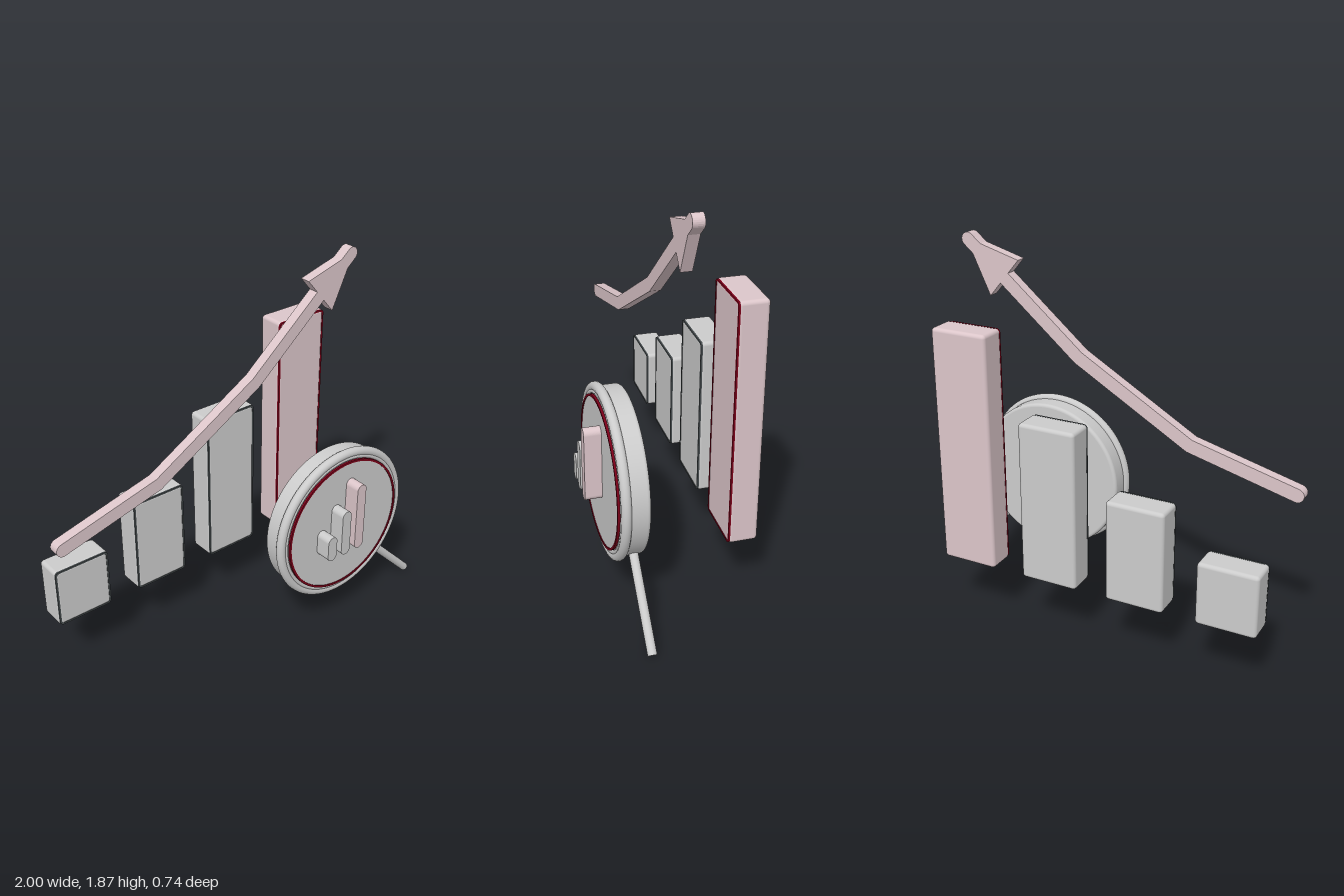
import * as THREE from 'three';
import { RoundedBoxGeometry } from 'three/addons/geometries/RoundedBoxGeometry.js';

const grey = new THREE.MeshStandardMaterial({ color: 0xcccccc });
const pink = new THREE.MeshStandardMaterial({ color: 0xdcc6ca });
const darkRed = new THREE.MeshStandardMaterial({ color: 0x7a0018 });
const darkGrey = new THREE.MeshStandardMaterial({ color: 0x454b4d });

function add(parent, name, geometry, material, x = 0, y = 0, z = 0) {
  const mesh = new THREE.Mesh(geometry, material);
  mesh.name = name;
  mesh.position.set(x, y, z);
  parent.add(mesh);
  return mesh;
}

// Centred rectangle with rounded corners, drawn counter-clockwise
function roundedRect(w, h, r, Kind = THREE.Shape) {
  const s = new Kind(), x = w / 2 - r, y = h / 2 - r;
  s.absarc(x, y, r, 0, Math.PI / 2);
  s.absarc(-x, y, r, Math.PI / 2, Math.PI);
  s.absarc(-x, -y, r, Math.PI, Math.PI * 1.5);
  s.absarc(x, -y, r, Math.PI * 1.5, Math.PI * 2);
  s.closePath();
  return s;
}

const extrude = (shape, depth) =>
  new THREE.ExtrudeGeometry(shape, { depth, bevelEnabled: false, curveSegments: 12 });

// Chart column: soft-edged block with a thin dark frame on its front
function column(x, top, material, frameMaterial) {
  const group = new THREE.Group(), w = 0.288, bottom = 0.31, h = top - bottom;
  group.name = 'chartColumn';
  group.position.set(x, bottom + h / 2, 0);
  add(group, 'columnBlock', new RoundedBoxGeometry(w, h, 0.138, 4, 0.018), material, 0, 0, -0.301);
  const frame = roundedRect(w - 0.004, h - 0.004, 0.02);
  frame.holes.push(roundedRect(w - 0.022, h - 0.022, 0.014, THREE.Path));
  add(group, 'columnFrame', extrude(frame, 0.009), frameMaterial, 0, 0, -0.24);
  return group;
}

// Trend arrow: mitred band with round ends and a triangular head, as one outline
function arrowShape() {
  const r = 0.033;
  const path = [[-0.968, 0.888], [-0.46, 1.02], [0.1, 1.347], [0.674, 1.834]]
    .map(p => new THREE.Vector2(...p));
  const dirs = path.slice(1).map((p, i) => p.clone().sub(path[i]).normalize());
  const left = d => new THREE.Vector2(-d.y, d.x);
  const last = dirs[2], end = path[3];
  const headPoint = (back, side) =>
    end.clone().addScaledVector(last, -back).addScaledVector(left(last), side);
  const joint = (i, sign) => {
    const n = left(dirs[i - 1]).add(left(dirs[i])).normalize();
    return path[i].clone().addScaledVector(n, sign * r / n.dot(left(dirs[i])));
  };
  const cap = (c, d) => Array.from({ length: 13 }, (_, i) => {
    const a = Math.atan2(d.y, d.x) - Math.PI / 2 + Math.PI * i / 12;
    return new THREE.Vector2(c.x + r * Math.cos(a), c.y + r * Math.sin(a));
  });
  return new THREE.Shape([
    ...cap(path[0], dirs[0].clone().negate()),
    joint(1, -1), joint(2, -1),
    headPoint(0.25, -r), headPoint(0.25, -0.12), headPoint(0.06, -r),
    ...cap(end, last),
    headPoint(0.06, r), headPoint(0.25, 0.12), headPoint(0.25, r),
    joint(2, 1), joint(1, 1),
  ]);
}

function magnifier() {
  const group = new THREE.Group();
  group.name = 'magnifier';
  group.position.set(0.404, 0.598, 0);

  // Round body with softened edges, its axis along z
  const body = new THREE.CylinderGeometry(0.385, 0.385, 0.09, 96, 1, true).rotateX(Math.PI / 2);
  add(group, 'lensBody', body, grey, 0, 0, 0.21);
  const edge = Array.from({ length: 7 }, (_, i) => {
    const a = Math.PI / 2 * i / 6;
    return new THREE.Vector2(0.37 + 0.015 * Math.sin(a), 0.165 - 0.015 * Math.cos(a));
  });
  add(group, 'lensBackEdge', new THREE.LatheGeometry(edge, 96).rotateX(Math.PI / 2), grey);
  add(group, 'lensBack', new THREE.CircleGeometry(0.37, 96).rotateY(Math.PI), grey, 0, 0, 0.15);

  // Rim, step inside it, and the lens plate
  add(group, 'lensRim', new THREE.TorusGeometry(0.382, 0.023, 16, 96), grey, 0, 0, 0.259);
  add(group, 'innerRim', new THREE.TorusGeometry(0.362, 0.012, 12, 96), grey, 0, 0, 0.269);
  const plate = new THREE.CylinderGeometry(0.345, 0.345, 0.04, 96).rotateX(Math.PI / 2);
  add(group, 'lensPlate', plate, grey, 0, 0, 0.266);
  const ring = new THREE.Shape().absarc(0, 0, 0.352, 0, Math.PI * 2);
  ring.holes.push(new THREE.Path().absarc(0, 0, 0.341, 0, Math.PI * 2));
  const ringGeometry = new THREE.ExtrudeGeometry(ring, { depth: 0.012, bevelEnabled: false, curveSegments: 48 });
  add(group, 'lensTrim', ringGeometry, darkRed, 0, 0, 0.278);

  // Small raised chart on the lens
  [[0.261, 0.62, grey], [0.348, 0.733, grey], [0.437, 0.85, pink]].forEach(([x, top, material]) => {
    const h = top - 0.486;
    add(group, 'smallBar', extrude(roundedRect(0.056, h, 0.0279), 0.085), material,
      x - 0.404, 0.486 + h / 2 - 0.598, 0.28);
  });

  // Handle runs diagonally down to the model's left
  const a = new THREE.Vector3(0.25, -0.25, 0.2), b = new THREE.Vector3(0.581, -0.583, 0.2);
  const rod = add(group, 'handle', new THREE.CylinderGeometry(0.021, 0.021, a.distanceTo(b), 24), grey);
  rod.position.copy(a).lerp(b, 0.5);
  rod.quaternion.setFromUnitVectors(new THREE.Vector3(0, 1, 0), b.clone().sub(a).normalize());
  return group;
}

export function createModel() {
  const model = new THREE.Group();
  model.name = 'chartWithMagnifier';
  [[-0.775, 0.617], [-0.33, 0.81], [0.113, 1.1]].forEach(([x, top]) =>
    model.add(column(x, top, grey, darkGrey)));
  model.add(column(0.558, 1.485, pink, darkRed));
  add(model, 'trendArrow', extrude(arrowShape(), 0.053), pink, 0, 0, -0.079);
  model.add(magnifier());
  return model;
}
